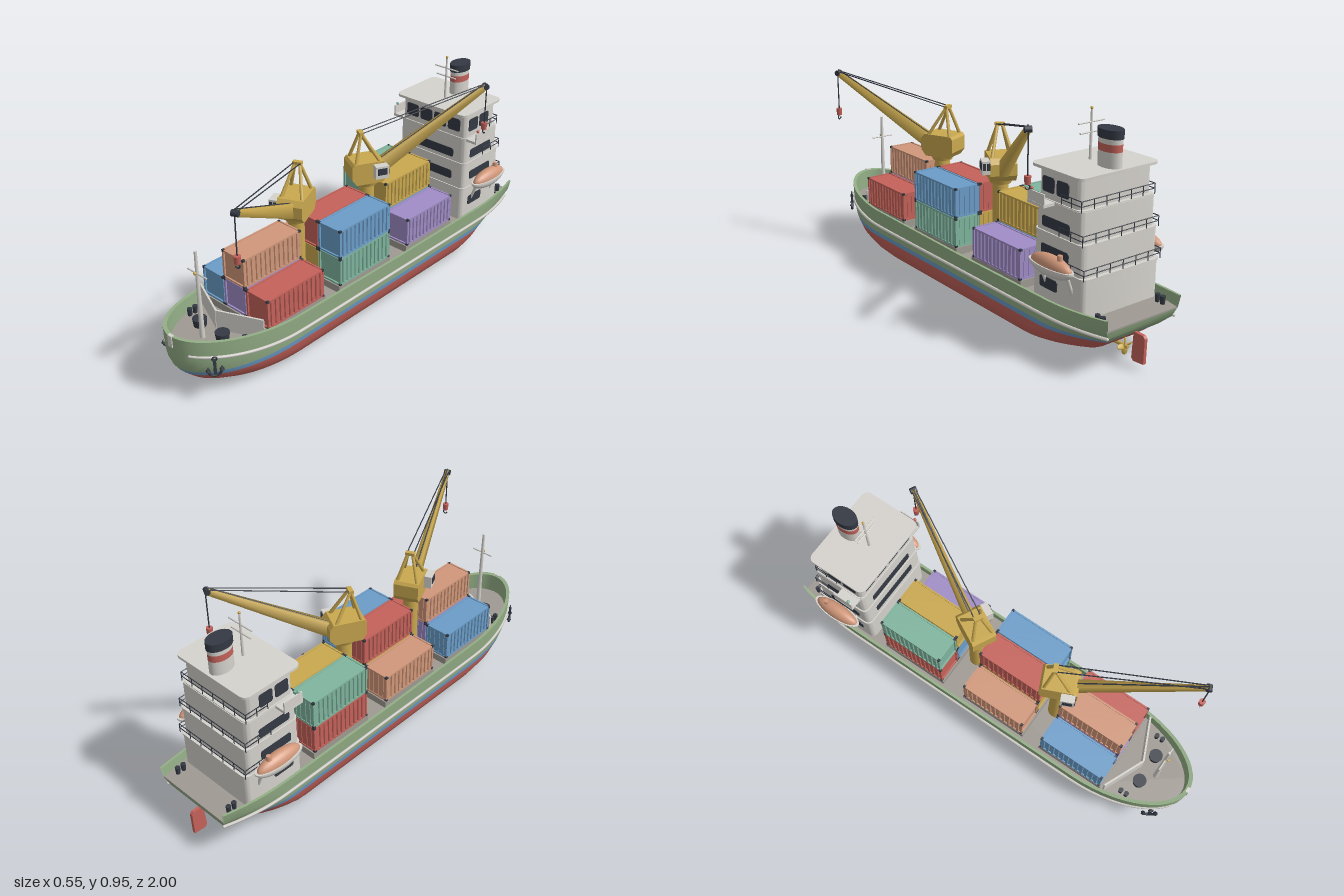
import * as THREE from 'three';
import { toCreasedNormals } from 'three/addons/utils/BufferGeometryUtils.js';

const paint = (name, color, side = THREE.FrontSide) => Object.assign(new THREE.MeshStandardMaterial({ color, side }), { name });
const V = (x, y, z) => new THREE.Vector3(x, y, z);

export function createModel() {
  const white = paint('offWhite', 0xd6d3cd), green = paint('hullGreen', 0x93ae86, THREE.DoubleSide), red = paint('red', 0xc4625a, THREE.DoubleSide),
    blue = paint('blue', 0x6c9dc9, THREE.DoubleSide), orange = paint('orange', 0xd0977a), gold = paint('gold', 0xc9a84f),
    purple = paint('purple', 0xa08dc6), teal = paint('teal', 0x80b59f), dark = paint('charcoal', 0x343943), deckGrey = paint('deckGrey', 0x9f9a93);
  const ship = new THREE.Group();
  ship.name = 'cargoShip';

  // ---------- helpers ----------
  const add = (parent, name, geo, mat, x = 0, y = 0, z = 0) => {
    const m = new THREE.Mesh(geo, mat);
    m.name = name;
    m.position.set(x, y, z);
    parent.add(m);
    return m;
  };
  const group = (parent, name, x = 0, y = 0, z = 0) => {
    const g = new THREE.Group();
    g.name = name;
    g.position.set(x, y, z);
    parent.add(g);
    return g;
  };
  const box = (p, name, mat, w, h, d, x, y, z) => add(p, name, new THREE.BoxGeometry(w, h, d), mat, x, y, z);
  const cyl = (p, name, mat, r1, r2, h, x, y, z, n = 20) => add(p, name, new THREE.CylinderGeometry(r1, r2, h, n), mat, x, y, z);
  const rod = (p, name, mat, a, b, r, r2 = r, n = 8, turn = 0) => {
    const d = b.clone().sub(a);
    const m = add(p, name, new THREE.CylinderGeometry(r2, r, d.length(), n, 1, false, turn), mat);
    m.position.copy(a).addScaledVector(d, 0.5);
    m.quaternion.setFromUnitVectors(V(0, 1, 0), d.normalize());
    return m;
  };
  const roundRect = (w, h, r) => {
    const s = new THREE.Shape(), x = w / 2, y = h / 2;
    s.moveTo(-x + r, -y).lineTo(x - r, -y).absarc(x - r, -y + r, r, -Math.PI / 2, 0)
      .absarc(x - r, y - r, r, 0, Math.PI / 2).absarc(-x + r, y - r, r, Math.PI / 2, Math.PI)
      .absarc(-x + r, -y + r, r, Math.PI, Math.PI * 1.5);
    return s;
  };
  const extrude = (shape, depth) => new THREE.ExtrudeGeometry(shape, { depth, bevelEnabled: false, curveSegments: 5 });
  // block with rounded vertical corners, standing on y
  const slab = (p, name, mat, w, d, h, r, x, y, z) =>
    add(p, name, toCreasedNormals(extrude(roundRect(w, d, r), h).rotateX(-Math.PI / 2), 0.6), mat, x, y, z);
  const windowPlate = (p, w, h, x, y, z, ry = 0) => {
    add(p, 'window', extrude(roundRect(w, h, 0.01), 0.006), dark, x, y, z).rotation.y = ry;
  };

  // ---------- hull: rows of [y, half beam, bow z, stern z, stern fullness] ----------
  const sheer = z => 0.235 + 0.058 * Math.max(0, (z - 0.3) / 0.7) ** 1.8 + 0.015 * Math.max(0, (-0.7 - z) / 0.285) ** 1.5;
  const cols = [];
  for (let i = 0; i <= 6; i++) cols.push([i * 0.025, 1, (1 - i / 6) ** 2]);
  cols.push([0.45, 1, 0]);
  for (let i = 0; i <= 14; i++) {
    const a = i / 14 * Math.PI / 2;
    cols.push([0.775 + 0.225 * Math.sin(a), i === 14 ? 0 : Math.cos(a), 0]);
  }
  const rowSide = ([y, b, zf, za, e]) => cols.map(([u, f, s]) => {
    const z = za + (zf - za) * u;
    return V(b * f * (1 - (1 - e) * s), y === null ? sheer(z) : y, z);
  });
  const rows = [
    [0, 0, 0.70, -0.64, 1], [0, 0.12, 0.72, -0.66, 0.5], [0.012, 0.165, 0.79, -0.72, 0.45], [0.035, 0.187, 0.86, -0.80, 0.4],
    [0.07, 0.205, 0.925, -0.86, 0.42], [0.108, 0.213, 0.963, -0.905, 0.5], [0.13, 0.216, 0.978, -0.935, 0.6],
    [0.165, 0.219, 0.992, -0.97, 0.75], [0.2, 0.222, 0.998, -0.98, 0.83], [null, 0.225, 1, -0.985, 0.86],
    [null, 0.213, 0.982, -0.985, 0.86], [0.199, 0.21, 0.978, -0.98, 0.85]];
  const pos = [], index = [], hull = new THREE.BufferGeometry(), ring = cols.length * 2;
  for (const r of rows) {
    const side = rowSide(r);
    for (const p of side) pos.push(p.x, p.y, p.z);
    for (const p of side.reverse()) pos.push(-p.x, p.y, p.z);
  }
  for (let r = 0; r < rows.length - 1; r++) {
    const start = index.length;
    for (let c = 0; c < ring; c++) {
      if (c === ring - 1 && r >= 8) continue; // stern is open above the deck
      const a = r * ring + c, b = r * ring + (c + 1) % ring;
      index.push(a, a + ring, b, b, a + ring, b + ring);
    }
    hull.addGroup(start, index.length - start, r < 5 ? 0 : r < 6 ? 1 : 2);
  }
  hull.setAttribute('position', new THREE.Float32BufferAttribute(pos, 3));
  hull.setIndex(index);
  add(ship, 'hull', toCreasedNormals(hull, 0.7), [red, blue, green]);

  const edge = rowSide([0, 0.22, 0.992, -0.98, 0.83]);
  const outline = [...edge.map(p => [p.x, p.z]), ...edge.slice(0, -1).reverse().map(p => [-p.x, p.z])];
  add(ship, 'deck', extrude(new THREE.Shape(outline.map(([x, z]) => new THREE.Vector2(x, -z))), 0.006).rotateX(-Math.PI / 2), deckGrey, 0, 0.197, 0);

  // rubbing rails, rising towards the bow
  for (const s of [1, -1]) {
    const path = rowSide([0, 0.224, 0.996, -0.972, 0.77]).slice(0, -3)
      .map(p => V(s * p.x, 0.168 + 0.05 * Math.max(0, (p.z - 0.5) / 0.47) ** 1.5, p.z));
    add(ship, 'rubbingRail', new THREE.TubeGeometry(new THREE.CatmullRomCurve3(path), 70, 0.007, 6), white);
    for (const q of [path[0], path[path.length - 1]]) add(ship, 'railEnd', new THREE.SphereGeometry(0.007, 8, 6), white, q.x, q.y, q.z);
  }

  // rudder and propeller
  const fin = new THREE.Shape([[0.935, 0.03], [0.945, 0.02], [0.998, 0.025], [1, 0.13], [0.99, 0.14], [0.942, 0.14]].map(p => new THREE.Vector2(...p)));
  add(ship, 'rudder', extrude(fin, 0.014).rotateY(Math.PI / 2), red, -0.007, 0, 0);
  const prop = group(ship, 'propeller', 0, 0.06, -0.892);
  rod(prop, 'shaft', gold, V(0, 0, 0.07), V(0, 0, -0.018), 0.009, 0.007, 12);
  for (let i = 0; i < 4; i++) {
    const blade = add(prop, 'blade', new THREE.SphereGeometry(0.018, 10, 8).scale(0.65, 1, 0.2).rotateY(0.6).translate(0, 0.02, 0), gold);
    blade.rotation.z = i * Math.PI / 2;
  }

  // ---------- containers ----------
  const W = 0.127, H = 0.132, L = 0.316, ribs = 12;
  const wave = [];
  for (let i = 0; i < ribs; i++) for (const [k, d] of [[0, 0.006], [0.4, 0.006], [0.5, 0.001], [0.9, 0.001]])
    wave.push([W / 2 - d, -L / 2 + 0.008 + (i + k) / ribs * (L - 0.016)]);
  wave.push([W / 2 - 0.006, L / 2 - 0.004]);
  const body = extrude(new THREE.Shape([...wave, ...wave.map(([x, y]) => [-x, y]).reverse()].map(p => new THREE.Vector2(...p))), H - 0.006).rotateX(-Math.PI / 2);
  const container = (mat, x, y, z) => {
    const g = group(ship, 'container', x, y, z);
    add(g, 'corrugatedBody', body, mat, 0, 0.002, 0);
    for (const sx of [1, -1]) {
      for (const sy of [0.004, H - 0.005]) {
        box(g, 'longRail', mat, 0.008, 0.008, L - 0.004, sx * (W / 2 - 0.005), sy, 0);
        box(g, 'endRail', mat, W - 0.004, 0.008, 0.008, 0, sy, sx * (L / 2 - 0.005));
        for (const sz of [1, -1]) box(g, 'cornerCasting', dark, 0.011, 0.009, 0.011, sx * (W / 2 - 0.0055), sy, sz * (L / 2 - 0.0055));
      }
      for (const sz of [1, -1]) box(g, 'cornerPost', mat, 0.009, H - 0.004, 0.009, sx * (W / 2 - 0.0055), H / 2, sz * (L / 2 - 0.0055));
      for (const px of [0.015, 0.04]) box(g, 'doorBar', mat, 0.004, H - 0.014, 0.004, sx * px, H / 2, -L / 2 + 0.003);
    }
  };
  // each bay: stacks from right (-x) to left (+x), bottom first
  const bays = [
    [0.511, [[blue], [purple, orange], [red]]],
    [0.099, [[orange], [gold, red], [teal, blue]]],
    [-0.337, [[red, teal], [blue, gold], [purple]]]];
  for (const [z, stacks] of bays) {
    box(ship, 'hatchCover', deckGrey, 0.385, 0.036, L + 0.01, 0, 0.218, z);
    stacks.forEach((stack, i) => stack.forEach((mat, level) => container(mat, (i - 1) * 0.129, 0.236 + level * 0.133, z)));
  }

  // ---------- deck cranes ----------
  const crane = (z, yaw, reach, tipY, hookY) => {
    const g = group(ship, 'deckCrane', 0, 0, z);
    g.rotation.y = yaw;
    cyl(g, 'pedestal', gold, 0.034, 0.036, 0.33, 0, 0.36, 0, 24);
    cyl(g, 'slewRing', gold, 0.052, 0.045, 0.02, 0, 0.522, 0, 24);
    const profile = [[-0.085, 0.56], [-0.065, 0.532], [0.055, 0.532], [0.078, 0.56], [0.078, 0.61], [0.06, 0.633], [-0.075, 0.633], [-0.085, 0.62]];
    add(g, 'machineryHouse', extrude(new THREE.Shape(profile.map(([a, b]) => new THREE.Vector2(-a, b)).reverse()), 0.112).rotateY(Math.PI / 2), gold, -0.056, 0, 0);
    box(g, 'cab', white, 0.036, 0.058, 0.06, -0.072, 0.595, 0.04);
    for (const wx of [-0.081, -0.063]) box(g, 'cabWindow', dark, 0.013, 0.03, 0.004, wx, 0.6, 0.071);
    box(g, 'cabSideWindow', dark, 0.004, 0.03, 0.042, -0.091, 0.6, 0.04);
    // support frame and stays
    for (const s of [1, -1]) {
      for (const lz of [0.045, -0.065]) rod(g, 'frameLeg', gold, V(s * 0.045, 0.628, lz), V(s * 0.01, 0.757, -0.03), 0.008, 0.007);
      rod(g, 'stay', dark, V(s * 0.015, 0.757, -0.03), V(s * 0.008, tipY + 0.008, reach - 0.005), 0.0025, 0.0025, 6);
    }
    box(g, 'frameHead', gold, 0.04, 0.014, 0.02, 0, 0.757, -0.03);
    // tapered jib
    rod(g, 'jib', gold, V(0, 0.58, 0.055), V(0, tipY, reach), 0.044, 0.019, 4, Math.PI / 4).scale.x = 0.62;
    rod(g, 'hoistCable', dark, V(0, 0.617, 0.06), V(0, tipY + 0.016, reach), 0.003);
    rod(g, 'tipSheave', dark, V(-0.014, tipY, reach), V(0.014, tipY, reach), 0.013, 0.013, 14);
    // hook
    rod(g, 'fallCable', dark, V(0, tipY, reach + 0.006), V(0, hookY, reach + 0.006), 0.0028);
    cyl(g, 'hookBlock', red, 0.014, 0.012, 0.032, 0, hookY, reach + 0.006, 12);
    add(g, 'hook', new THREE.TorusGeometry(0.009, 0.003, 6, 14, Math.PI * 1.5), dark, 0, hookY - 0.027, reach + 0.006).rotation.z = -Math.PI;
  };
  crane(0.315, 0.42, 0.57, 0.85, 0.662);
  crane(-0.12, Math.PI - 0.483, 0.555, 0.887, 0.697);

  // ---------- superstructure ----------
  const house = group(ship, 'superstructure');
  const tiers = [[0.39, -0.57, -0.862, 0.2, 0.36], [0.386, -0.575, -0.85, 0.36, 0.487], [0.38, -0.58, -0.835, 0.487, 0.612], [0.364, -0.585, -0.815, 0.612, 0.735]];
  tiers.forEach(([w, zf, zb, y0, y1], i) => {
    const zc = (zf + zb) / 2, d = zf - zb;
    slab(house, 'deckHouse', white, w, d, y1 - y0, 0.025, 0, y0, zc);
    if (!i) return;
    slab(house, 'tierDeck', white, w + 0.012, d + 0.022, 0.008, 0.028, 0, y0 - 0.004, zc - 0.006);
    // railing round the after end
    const x = w / 2 + 0.003, zr = zb - 0.014, corners = [[-x, -0.72], [-x, zr], [x, zr], [x, -0.72]];
    for (let k = 0; k < 3; k++) {
      const [ax, az] = corners[k], [bx, bz] = corners[k + 1], n = k === 1 ? 6 : 2;
      for (const h of [0.022, 0.042]) rod(house, 'railing', dark, V(ax, y0 + h, az), V(bx, y0 + h, bz), 0.002, 0.002, 5);
      for (let j = 0; j <= n; j++) {
        const px = ax + (bx - ax) * j / n, pz = az + (bz - az) * j / n;
        rod(house, 'railingPost', dark, V(px, y0, pz), V(px, y0 + 0.042, pz), 0.002, 0.002, 5);
      }
    }
  });
  slab(house, 'roof', white, 0.4, 0.285, 0.011, 0.03, 0, 0.731, -0.695);
  for (const x of [-0.12, -0.04, 0.04, 0.12]) windowPlate(house, 0.068, 0.06, x, 0.672, -0.588);
  windowPlate(house, 0.255, 0.042, 0, 0.53, -0.583);
  windowPlate(house, 0.255, 0.042, 0, 0.42, -0.578);
  for (const s of [1, -1]) {
    const ry = s * Math.PI / 2;
    for (const z of [-0.645, -0.725]) windowPlate(house, 0.066, 0.06, s * 0.179, 0.672, z, ry);
    windowPlate(house, 0.155, 0.042, s * 0.187, 0.53, -0.7, ry);
    windowPlate(house, 0.155, 0.042, s * 0.19, 0.42, -0.7, ry);
    windowPlate(house, 0.1, 0.045, s * 0.192, 0.288, -0.67, ry);
    // bridge wing with side light
    box(house, 'bridgeWing', white, 0.068, 0.012, 0.095, s * 0.208, 0.608, -0.64);
    box(house, 'wingScreen', white, 0.006, 0.045, 0.095, s * 0.238, 0.632, -0.64);
    add(house, 'sideLight', new THREE.SphereGeometry(0.007, 12, 8), s > 0 ? red : teal, s * 0.236, 0.661, -0.61);
    // lifeboat on its cradle
    const boat = group(ship, 'lifeboat', s * 0.232, 0.388, -0.724);
    add(boat, 'boatHull', new THREE.SphereGeometry(1, 28, 10, 0, Math.PI * 2, Math.PI / 2, Math.PI / 2).scale(0.039, 0.043, 0.118), white);
    cyl(boat, 'gunwale', white, 1, 1, 1, 0, 0, 0, 28).scale.set(0.04, 0.007, 0.12);
    add(boat, 'canopy', new THREE.SphereGeometry(1, 28, 10, 0, Math.PI * 2, 0, Math.PI / 2).scale(0.035, 0.043, 0.11), orange);
    cyl(boat, 'lookout', orange, 0.01, 0.012, 0.02, 0, 0.046, -0.05, 12);
    for (const z of [-0.65, -0.8]) {
      rod(ship, 'davitArm', white, V(s * 0.19, 0.285, z), V(s * 0.218, 0.36, z), 0.007);
      rod(ship, 'davitStay', white, V(s * 0.185, 0.362, z), V(s * 0.225, 0.362, z), 0.006);
    }
  }

  // funnel in coloured rings
  const funnel = group(house, 'funnel', 0, 0, -0.772);
  for (const [mat, y0, y1, r] of [[white, 0.74, 0.803, 0.036], [red, 0.803, 0.832, 0.0362], [white, 0.832, 0.852, 0.036], [dark, 0.852, 0.886, 0.039]])
    cyl(funnel, 'funnelRing', mat, r, r, y1 - y0, 0, (y0 + y1) / 2, 0, 32).scale.z = 1.5;
  // radar mast
  rod(house, 'mast', white, V(0, 0.74, -0.667), V(0, 0.935, -0.667), 0.006, 0.004);
  for (const [y, w] of [[0.887, 0.065], [0.848, 0.055]]) rod(house, 'yard', white, V(-w, y, -0.667), V(w, y, -0.667), 0.0035);
  add(house, 'mastLight', new THREE.SphereGeometry(0.006, 10, 8), gold, 0, 0.94, -0.667);

  // ---------- fittings on deck ----------
  rod(ship, 'foremast', white, V(0, 0.2, 0.845), V(0, 0.6, 0.845), 0.011, 0.006, 12);
  rod(ship, 'foremastYard', white, V(-0.055, 0.5, 0.845), V(0.055, 0.5, 0.845), 0.0035);
  add(ship, 'foremastLight', new THREE.SphereGeometry(0.007, 10, 8), gold, 0, 0.505, 0.855);
  box(ship, 'bowChock', white, 0.024, 0.052, 0.014, 0, 0.269, 0.995);
  for (const s of [1, -1]) {
    const wall = box(ship, 'breakwater', white, 0.205, 0.09, 0.008, s * 0.094, 0.247, 0.729);
    wall.rotation.y = s * 0.41;
    cyl(ship, 'windlass', dark, 0.03, 0.026, 0.035, s * 0.068, 0.22, 0.8);
    for (const [x, z] of [[0.15, 0.77], [0.155, -0.915]]) for (const dz of [-0.014, 0.014]) {
      cyl(ship, 'bollard', dark, 0.011, 0.009, 0.034, s * x, 0.219, z + dz, 12);
    }
    // anchor against the bow
    const anchor = group(ship, 'anchor', s * 0.148, 0.175, 0.912);
    anchor.rotation.y = s * 1.03;
    box(anchor, 'shank', dark, 0.011, 0.066, 0.011, 0, 0, 0);
    add(anchor, 'ring', new THREE.TorusGeometry(0.009, 0.0035, 6, 14), dark, 0, 0.036, 0);
    add(anchor, 'arms', new THREE.TorusGeometry(0.027, 0.006, 6, 16, Math.PI), dark, 0, -0.015, 0).rotation.z = Math.PI;
    for (const k of [1, -1]) add(anchor, 'fluke', new THREE.ConeGeometry(0.011, 0.022, 6), dark, k * 0.027, -0.008, 0);
  }
  return ship;
}
